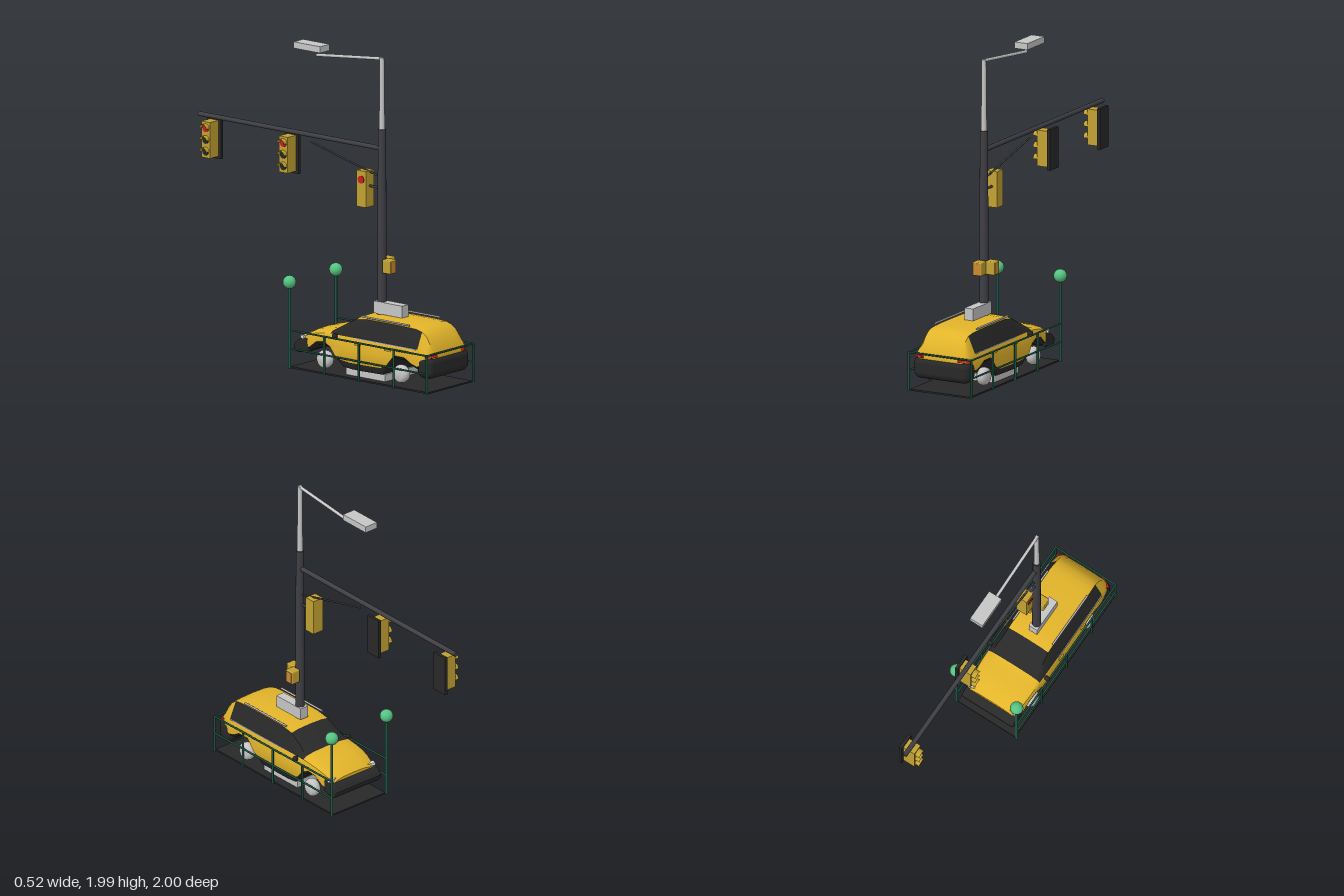
import * as THREE from 'three';
import { toCreasedNormals } from 'three/addons/utils/BufferGeometryUtils.js';
import { RoundedBoxGeometry } from 'three/addons/geometries/RoundedBoxGeometry.js';

const mat = (name, color) => {
  const m = new THREE.MeshStandardMaterial({ color });
  m.name = name;
  return m;
};

export function createModel() {
  const M = {
    paint: mat('car yellow', 0xe2b42a),
    signal: mat('signal yellow', 0xc2a232),
    black: mat('black', 0x282828),
    pole: mat('dark grey steel', 0x3f3f44),
    grey: mat('light grey', 0xc6c6c6),
    rail: mat('rail green', 0x1d5844),
    globe: mat('globe green', 0x55c482),
    red: mat('lamp red', 0xc8201c),
    orange: mat('button orange', 0xcc8a30),
    white: mat('headlight white', 0xeeeeea),
  };
  const model = new THREE.Group();
  model.name = 'streetCornerWithCar';

  const add = (name, geo, m, x = 0, y = 0, z = 0, parent = model) => {
    const mesh = new THREE.Mesh(geo, m);
    mesh.name = name;
    mesh.position.set(x, y, z);
    parent.add(mesh);
    return mesh;
  };
  const box = (name, m, w, h, d, x, y, z, parent) =>
    add(name, new THREE.BoxGeometry(w, h, d), m, x, y, z, parent);
  // Round bar between two points
  const bar = (name, m, a, b, r0, r1 = r0, sides = 12, parent = model) => {
    const A = new THREE.Vector3(...a), B = new THREE.Vector3(...b);
    const dir = B.clone().sub(A);
    const mesh = add(name, new THREE.CylinderGeometry(r1, r0, dir.length(), sides), m, 0, 0, 0, parent);
    mesh.position.copy(A).add(B).multiplyScalar(0.5);
    mesh.quaternion.setFromUnitVectors(new THREE.Vector3(0, 1, 0), dir.normalize());
    return mesh;
  };

  // Ground plate and pole footing
  box('groundPlate', M.black, 0.42, 0.01, 1.09, 0, 0.005, 0.445);
  box('poleFooting', M.grey, 0.31, 0.045, 0.31, 0, 0.033, 0.45);

  // Railing with globe posts at one end
  const railing = new THREE.Group();
  railing.name = 'railing';
  model.add(railing);
  for (const x of [-0.22, 0.22]) {
    for (const z of [0.99, 0.725, 0.45, 0.175])
      bar('railPost', M.rail, [x, 0, z], [x, 0.24, z], 0.007, 0.007, 8, railing);
    bar('globePost', M.rail, [x, 0, -0.1], [x, 0.51, -0.1], 0.009, 0.009, 10, railing);
    add('globe', new THREE.SphereGeometry(0.041, 20, 14), M.globe, x, 0.54, -0.1, railing);
    for (const y of [0.24, 0.125])
      bar('sideRail', M.rail, [x, y, 0.99], [x, y, -0.1], 0.006, 0.006, 8, railing);
  }
  bar('endRail', M.rail, [-0.22, 0.24, 0.99], [0.22, 0.24, 0.99], 0.006, 0.006, 8, railing);

  // Car body: cross-sections from tail to nose
  const car = new THREE.Group();
  car.name = 'car';
  model.add(car);
  // [z, bottom, belt, top, half width, half roof width]
  const stations = [
    [0.98, 0.2, 0.22, 0.24, 0.165, 0.145], [0.95, 0.16, 0.25, 0.305, 0.185, 0.142],
    [0.92, 0.14, 0.255, 0.347, 0.19, 0.14], [0.885, 0.13, 0.258, 0.372, 0.195, 0.14],
    [0.84, 0.145, 0.258, 0.383, 0.198, 0.143], [0.79, 0.175, 0.258, 0.386, 0.2, 0.145],
    [0.71, 0.175, 0.258, 0.388, 0.2, 0.145], [0.65, 0.105, 0.258, 0.388, 0.2, 0.145],
    [0.6, 0.058, 0.258, 0.388, 0.2, 0.145], [0.45, 0.055, 0.258, 0.387, 0.2, 0.145],
    [0.36, 0.055, 0.258, 0.372, 0.2, 0.145], [0.29, 0.062, 0.258, 0.335, 0.2, 0.15],
    [0.24, 0.105, 0.258, 0.306, 0.2, 0.158], [0.2, 0.155, 0.258, 0.284, 0.198, 0.168],
    [0.15, 0.178, 0.252, 0.273, 0.197, 0.167], [0.09, 0.17, 0.243, 0.264, 0.194, 0.163],
    [0.03, 0.125, 0.228, 0.25, 0.188, 0.155], [-0.02, 0.115, 0.205, 0.228, 0.178, 0.145],
    [-0.05, 0.115, 0.185, 0.208, 0.165, 0.135],
  ];
  const N = 14, pos = [], faces = [[], [], []]; // paint, cladding, glass
  for (const [z, yb, belt, top, w, wt] of stations) {
    const clad = yb < 0.09 ? 0.045 : 0.022;
    const half = [[0, yb], [w - 0.025, yb], [w - 0.002, yb + clad], [w, (yb + clad + belt) / 2],
      [w * 0.95, belt], [wt, top - 0.012], [wt * 0.65, top - 0.003], [0, top]];
    for (const [x, y] of half) pos.push(x, y, z);
    for (let j = 6; j > 0; j--) pos.push(-half[j][0], half[j][1], z);
  }
  for (let i = 0; i < stations.length - 1; i++) {
    const z = (stations[i][0] + stations[i + 1][0]) / 2;
    for (let k = 0; k < N; k++) {
      const s = Math.min(k, N - 1 - k), n = (k + 1) % N;
      let f = 0;
      if (s < 2) f = 1;
      else if (s === 4 && z > 0.2 && z < 0.885) f = 2;
      else if (s > 4 && z > 0.2 && z < 0.36) f = 2;
      const a = i * N + k, b = i * N + n, c = b + N, d = a + N;
      faces[f].push(a, d, c, a, c, b);
    }
  }
  const last = (stations.length - 1) * N;
  for (let k = 1; k < N - 1; k++) {
    faces[0].push(0, k, k + 1, last, last + k + 1, last + k);
  }
  const bodyGeo = new THREE.BufferGeometry();
  bodyGeo.setAttribute('position', new THREE.Float32BufferAttribute(pos, 3));
  bodyGeo.setIndex(faces.flat());
  let start = 0;
  faces.forEach((f, i) => { bodyGeo.addGroup(start, f.length, i); start += f.length; });
  add('carBody', toCreasedNormals(bodyGeo, 0.7), [M.paint, M.black, M.black], 0, 0, 0, car);

  // Bumpers
  add('rearBumper', new RoundedBoxGeometry(0.392, 0.14, 0.115, 4, 0.045), M.black, 0, 0.15, 0.935, car);
  const nose = new THREE.Shape();
  nose.moveTo(-0.005, 0.19);
  nose.quadraticCurveTo(0.06, 0.19, 0.09, 0.142);
  nose.quadraticCurveTo(0.09, 0.115, 0.065, 0.105);
  nose.lineTo(-0.01, 0.122);
  nose.closePath();
  const noseGeo = new THREE.ExtrudeGeometry(nose, {
    depth: 0.33, bevelEnabled: true, bevelThickness: 0.02, bevelSize: 0.008, bevelSegments: 3, curveSegments: 6,
  });
  noseGeo.translate(0, 0, -0.165).rotateY(Math.PI / 2);
  add('frontBumper', noseGeo, M.black, 0, 0, 0, car);

  for (const s of [-1, 1]) {
    // Lamps, mirrors and roof bars
    box('headlight', M.white, 0.065, 0.018, 0.03, s * 0.148, 0.2, -0.025, car).rotation.y = s * 0.25;
    box('tailLight', M.red, 0.075, 0.018, 0.05, s * 0.148, 0.223, 0.955, car).rotation.y = s * 0.5;
    add('wingMirror', new RoundedBoxGeometry(0.035, 0.034, 0.026, 3, 0.011), M.black, s * 0.21, 0.25, 0.25, car);
    bar('roofBar', M.grey, [s * 0.145, 0.388, 0.79], [s * 0.145, 0.388, 0.41], 0.006, 0.006, 8, car);
    box('windowTrim', M.grey, 0.006, 0.006, 0.48, s * 0.191, 0.257, 0.635, car);
    for (const z of [0.66, 0.42])
      box('doorHandle', M.paint, 0.008, 0.01, 0.045, s * 0.2, 0.222, z, car);
    // Wheels
    const wheel = new THREE.LatheGeometry([[0, -0.035], [0.035, -0.033], [0.052, -0.02], [0.057, 0],
      [0.052, 0.02], [0.035, 0.033], [0, 0.035]].map(p => new THREE.Vector2(...p)), 24);
    wheel.rotateZ(Math.PI / 2);
    for (const z of [0.745, 0.14]) add('wheel', wheel, M.grey, s * 0.168, 0.085, z, car);
  }

  // Pole, mast arm and street lamp
  box('roofBox', M.grey, 0.06, 0.075, 0.225, 0, 0.427, 0.522);
  bar('mainPole', M.pole, [0, 0.05, 0.45], [0, 1.54, 0.45], 0.03, 0.025, 16);
  bar('lampPole', M.grey, [0, 1.54, 0.45], [0, 1.985, 0.45], 0.018, 0.014, 14);
  bar('lampArm', M.grey, [0, 1.98, 0.455], [0, 1.925, -0.065], 0.01, 0.01);
  box('lampHead', M.grey, 0.09, 0.04, 0.21, 0, 1.973, -0.108);
  bar('mastArm', M.pole, [0, 1.418, 0.45], [0, 1.418, -1], 0.015, 0.015);
  bar('mastBrace', M.pole, [0, 1.24, 0.43], [0, 1.375, -0.112], 0.006, 0.006, 8);

  // Traffic signals facing -x
  const lens = new THREE.CylinderGeometry(0.024, 0.024, 0.006, 20).rotateZ(Math.PI / 2);
  const visor = new THREE.CylinderGeometry(0.028, 0.028, 0.032, 14, 1, true, 0, Math.PI);
  visor.rotateY(-Math.PI / 2).rotateX(Math.PI / 2).rotateY(Math.PI / 2);
  // Keep the visor as a hood over the top half
  visor.computeBoundingBox();
  if (visor.boundingBox.max.y < 0.01) visor.rotateX(Math.PI);
  const visorMat = M.signal;
  visorMat.side = THREE.DoubleSide;
  for (const z of [-0.3, -0.916]) {
    const g = new THREE.Group();
    g.name = 'trafficSignal';
    g.position.set(0, 1.273, z);
    model.add(g);
    box('backPlate', M.black, 0.02, 0.256, 0.105, 0.052, 0, 0, g);
    box('signalHousing', M.signal, 0.08, 0.225, 0.068, 0.002, 0, 0, g);
    [0.073, 0, -0.073].forEach((y, i) => {
      add('lens', lens, i === 0 ? M.red : M.black, -0.04, y, 0, g);
      add('visor', visor, visorMat, -0.054, y, 0, g);
    });
  }
  // Small signal beside the pole
  box('sideSignal', M.signal, 0.076, 0.226, 0.072, -0.001, 1.152, 0.318);
  add('sideSignalLens', lens, M.red, -0.041, 1.21, 0.318);
  bar('sideSignalBracket', M.pole, [0, 1.17, 0.45], [0, 1.17, 0.34], 0.008, 0.008, 8);

  // Crossing boxes on two sides of the pole
  for (const a of [0, Math.PI / 2]) {
    const g = new THREE.Group();
    g.name = 'crossingBox';
    g.position.set(0, 0.69, 0.45);
    g.rotation.y = a;
    model.add(g);
    add('crossingHousing', new RoundedBoxGeometry(0.062, 0.086, 0.064, 3, 0.008), M.signal, 0, 0, 0.058, g);
    box('crossingFace', M.orange, 0.05, 0.07, 0.006, 0, 0, 0.089, g);
  }
  return model;
}
